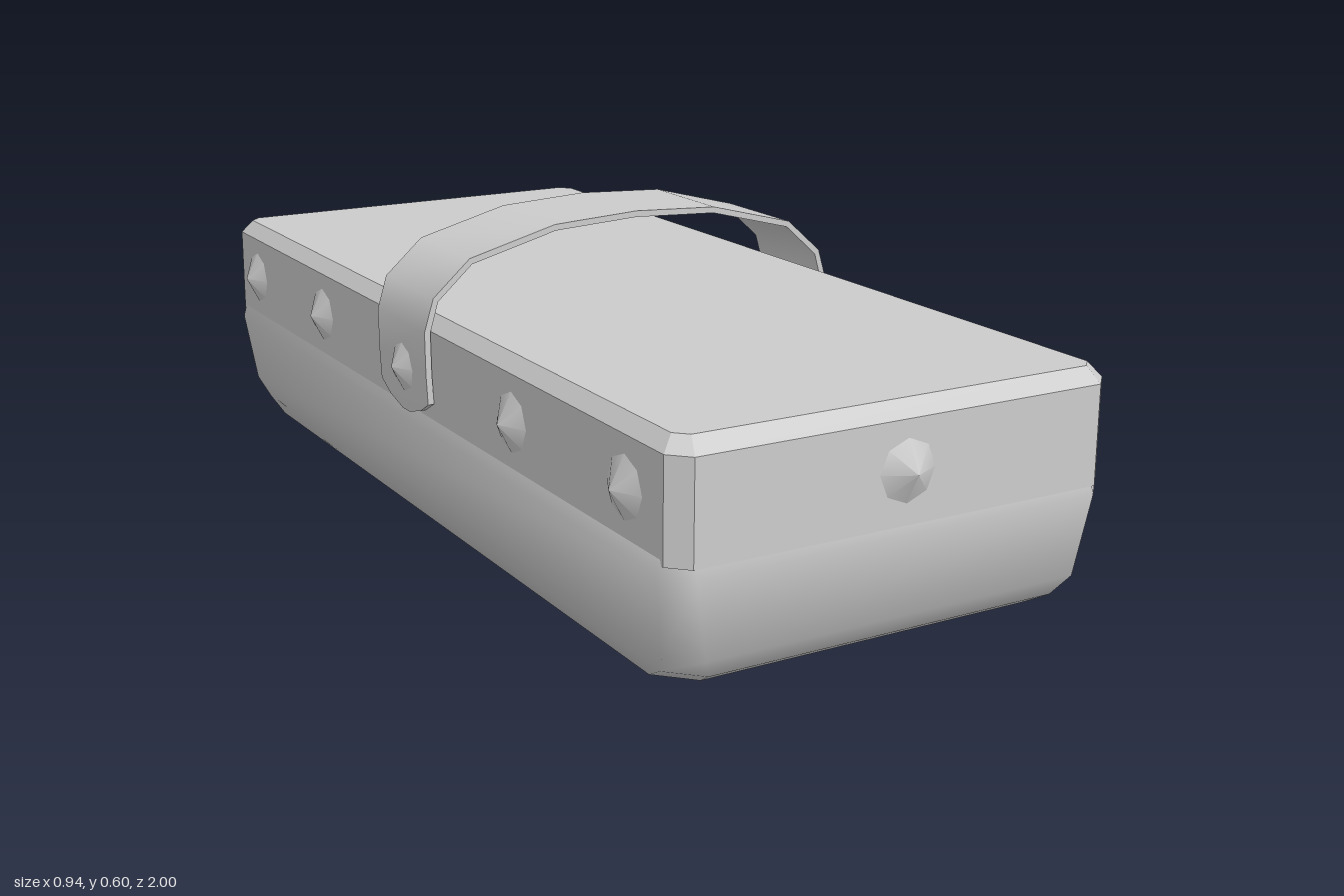
import * as THREE from 'three';
import { toCreasedNormals } from 'three/addons/utils/BufferGeometryUtils.js';

const grey = new THREE.MeshStandardMaterial({ color: 0xcccccc });

// Skin a list of equal-length rings of [x, y, z] points and cap both ends.
function loft(rings, crease) {
  const n = rings[0].length;
  const index = [];
  for (let r = 0; r < rings.length - 1; r++) {
    for (let i = 0; i < n; i++) {
      const j = (i + 1) % n;
      const a = r * n + i, b = r * n + j, c = b + n, d = a + n;
      index.push(a, b, c, a, c, d);
    }
  }
  const last = (rings.length - 1) * n;
  for (let i = 1; i < n - 1; i++) {
    index.push(0, i + 1, i, last, last + i, last + i + 1);
  }
  const geo = new THREE.BufferGeometry();
  geo.setAttribute('position', new THREE.Float32BufferAttribute(rings.flat(2), 3));
  geo.setIndex(index);
  return toCreasedNormals(geo, crease);
}

// Rectangle with cut corners, lying flat at height y.
function cutRect([y, hx, hz, cut]) {
  return [
    [hx, y, hz - cut], [hx, y, cut - hz], [hx - cut, y, -hz], [cut - hx, y, -hz],
    [-hx, y, cut - hz], [-hx, y, hz - cut], [cut - hx, y, hz], [hx - cut, y, hz],
  ];
}

function addMesh(parent, name, geometry) {
  const mesh = new THREE.Mesh(geometry, grey);
  mesh.name = name;
  parent.add(mesh);
  return mesh;
}

// Strap arched over the lid, with tapered tongues at both ends.
function strapGeometry() {
  // x, y, half width
  const half = [
    [0.438, 0.235, 0.015], [0.439, 0.25, 0.07], [0.44, 0.272, 0.109], [0.443, 0.33, 0.109],
    [0.444, 0.41, 0.109], [0.426, 0.47, 0.109], [0.353, 0.535, 0.109], [0.176, 0.581, 0.109],
  ];
  const path = [...half, [0, 0.59, 0.109], ...half.slice().reverse().map(([x, y, w]) => [-x, y, w])];
  const t = 0.006;
  const rings = path.map(([x, y, w], i) => {
    const a = path[Math.max(i - 1, 0)], b = path[Math.min(i + 1, path.length - 1)];
    const dx = b[0] - a[0], dy = b[1] - a[1], len = Math.hypot(dx, dy);
    const nx = (dy / len) * t, ny = (-dx / len) * t;
    return [
      [x + nx, y + ny, w], [x + nx, y + ny, -w],
      [x - nx, y - ny, -w], [x - nx, y - ny, w],
    ];
  });
  return loft(rings, 0.8);
}

export function createModel() {
  const model = new THREE.Group();
  model.name = 'strappedCase';

  // Rounded lower tray: y, half width, half length, corner cut
  const tray = [
    [0, 0.39, 0.885, 0.06], [0.03, 0.403, 0.935, 0.055], [0.07, 0.42, 0.963, 0.05],
    [0.215, 0.441, 0.975, 0.045], [0.24, 0.434, 0.97, 0.04],
  ];
  addMesh(model, 'tray', loft(tray.map(cutRect), 1.2));

  // Bevelled lid
  const lid = [
    [0.23, 0.434, 0.972, 0.034], [0.41, 0.434, 0.972, 0.034], [0.437, 0.412, 0.945, 0.022],
  ];
  addMesh(model, 'lid', loft(lid.map(cutRect), 0.3));

  addMesh(model, 'strap', strapGeometry());

  // Pointed studs around the lid
  const studs = new THREE.Group();
  studs.name = 'studs';
  model.add(studs);
  const studGeo = new THREE.ConeGeometry(0.063, 0.032, 8);
  studGeo.translate(0, 0.012, 0);
  const up = new THREE.Vector3(0, 1, 0);
  function addStud(name, x, z, nx, nz) {
    const stud = addMesh(studs, name, studGeo);
    stud.position.set(x, 0.323, z);
    stud.quaternion.setFromUnitVectors(up, new THREE.Vector3(nx, 0, nz));
  }
  for (const side of [1, -1]) {
    for (const z of [0.82, 0.43, 0, -0.445, -0.838]) {
      addStud('sideStud', side * (z === 0 ? 0.444 : 0.434), z, side, 0);
    }
    addStud('endStud', 0, side * 0.972, 0, side);
  }
  return model;
}
